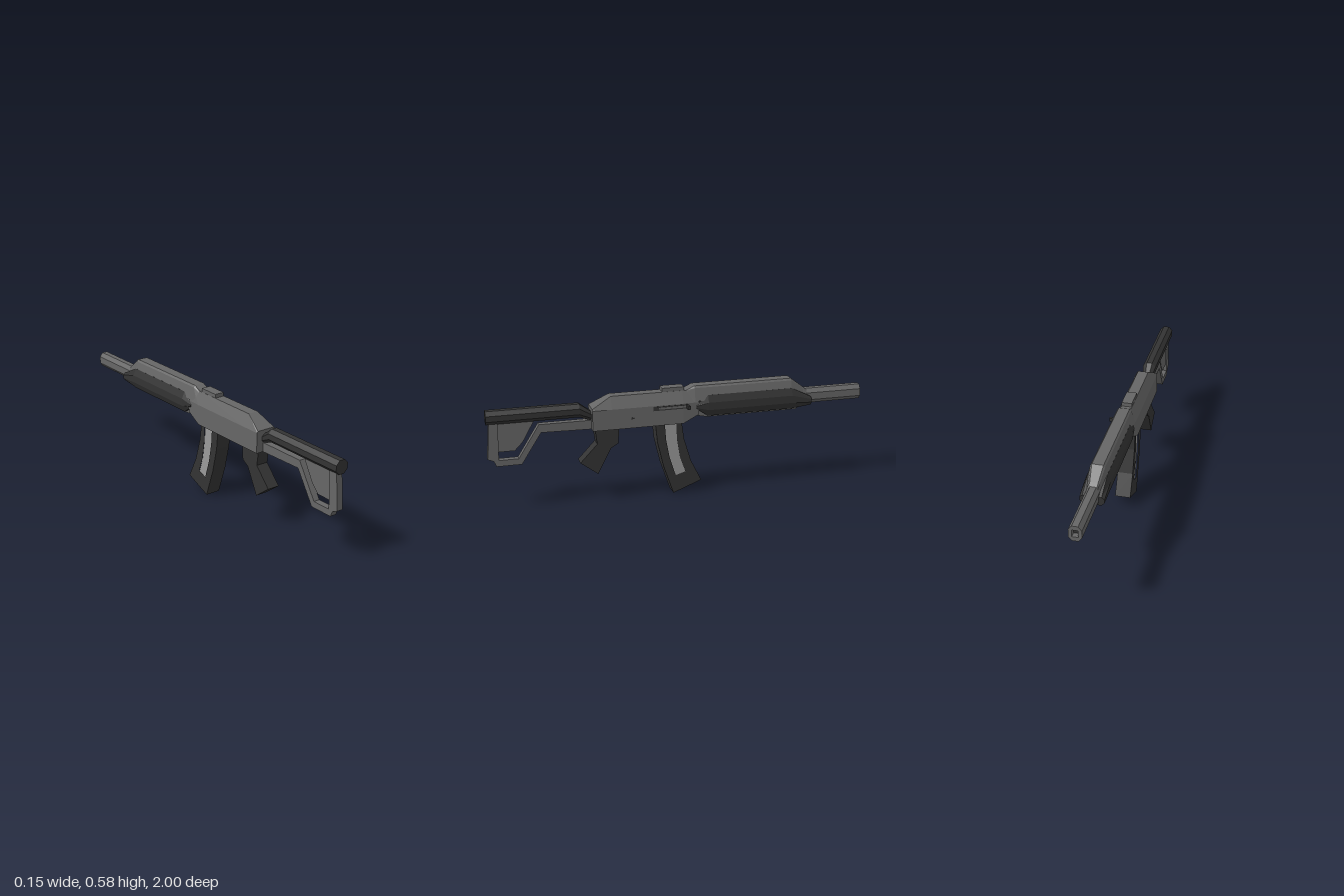
import * as THREE from 'three';

const mat = (name, color) => {
  const m = new THREE.MeshStandardMaterial({ color });
  m.name = name;
  return m;
};

export function createModel() {
  const gray = mat('gunmetal', 0x666666);
  const dark = mat('dark polymer', 0x333333);
  const light = mat('light steel', 0x999999);

  const group = new THREE.Group();
  group.name = 'rifle';
  const body = new THREE.Group();
  body.name = 'body';
  body.position.x = -0.0135; // the side handle shifts the body off centre
  group.add(body);

  const add = (name, geometry, material, x = 0, y = 0, z = 0) => {
    const mesh = new THREE.Mesh(geometry, material);
    mesh.name = name;
    mesh.position.set(x, y, z);
    body.add(mesh);
    return mesh;
  };
  const box = (w, h, d) => new THREE.BoxGeometry(w, h, d);
  const toPoints = (list) => list.map(([a, b]) => new THREE.Vector2(a, b));

  // Side outline given as [z, y], extruded across x
  const slab = (outline, width, hole) => {
    const shape = new THREE.Shape(toPoints(outline));
    if (hole) shape.holes.push(new THREE.Path(toPoints(hole)));
    const g = new THREE.ExtrudeGeometry(shape, { depth: width, bevelEnabled: false });
    g.translate(0, 0, -width / 2);
    g.rotateY(-Math.PI / 2);
    return g;
  };

  // Mirrored cross-sections [z, [[halfWidth, y] bottom to top]], ordered from +z to -z
  const loft = (stations) => {
    const rings = stations.map(([z, half]) => [
      ...half.map(([x, y]) => [x, y, z]),
      ...[...half].reverse().map(([x, y]) => [-x, y, z]),
    ]);
    const pos = [];
    const tri = (a, b, c) => pos.push(...a, ...b, ...c);
    const n = rings[0].length;
    for (let i = 0; i < rings.length - 1; i++) {
      for (let j = 0; j < n; j++) {
        const k = (j + 1) % n;
        const [p, q] = [rings[i], rings[i + 1]];
        tri(p[j], q[j], p[k]);
        tri(p[k], q[j], q[k]);
      }
    }
    const last = rings[rings.length - 1];
    for (let j = 1; j < n - 1; j++) {
      tri(rings[0][0], rings[0][j], rings[0][j + 1]);
      tri(last[0], last[j + 1], last[j]);
    }
    const g = new THREE.BufferGeometry();
    g.setAttribute('position', new THREE.Float32BufferAttribute(pos, 3));
    g.computeVertexNormals();
    return g;
  };

  // Receiver with sloped roof and chamfered ends
  const main = [[0.0565, 0.388], [0.0565, 0.495], [0.0275, 0.557]];
  add('receiver', loft([
    [0.47, [[0.0565, 0.388], [0.0565, 0.495], [0.05, 0.502]]],
    [0.37, main],
    [-0.005, main],
    [-0.09, [[0.052, 0.43], [0.052, 0.495], [0.0275, 0.557]]],
  ]), gray);
  add('topBlock', box(0.053, 0.03, 0.115), gray, 0, 0.562, 0.043);

  // Ejection slot, bolt handle and selector on the left side
  add('ejectionSlot', box(0.004, 0.022, 0.185), dark, 0.0565, 0.48, 0.062);
  add('slotBolt', box(0.004, 0.01, 0.15), gray, 0.0575, 0.48, 0.05);
  add('boltHandle', box(0.04, 0.017, 0.015), dark, 0.0665, 0.478, -0.028);
  add('selector', slab([[0.27, 0.432], [0.27, 0.446], [0.255, 0.44]], 0.004), dark, 0.0565);

  // Handguard: upper cover, side grips and lower rail
  add('upperHandguard', loft([
    [-0.025, [[0.05, 0.49], [0.03, 0.546], [0.027, 0.556]]],
    [-0.07, [[0.052, 0.5], [0.036, 0.567], [0.028, 0.577]]],
    [-0.6, [[0.052, 0.5], [0.036, 0.567], [0.028, 0.577]]],
    [-0.67, [[0.04, 0.47], [0.026, 0.517], [0.02, 0.524]]],
    [-0.7, [[0.035, 0.47], [0.022, 0.497], [0.018, 0.5]]],
  ]), gray);
  const grip = [[0.046, 0.415], [0.0615, 0.45], [0.0615, 0.49], [0.046, 0.527]];
  add('handguardGrip', loft([
    [-0.075, [[0.05, 0.46], [0.055, 0.465], [0.055, 0.475], [0.05, 0.48]]],
    [-0.14, grip],
    [-0.6, grip],
    [-0.71, [[0.046, 0.428], [0.06, 0.445], [0.06, 0.462], [0.046, 0.473]]],
  ]), dark);
  add('lowerHandguard', slab([
    [-0.07, 0.42], [-0.14, 0.405], [-0.63, 0.405], [-0.66, 0.425], [-0.66, 0.45], [-0.07, 0.45],
  ], 0.06), gray);

  // Eight-sided barrel with a square bore
  const muzzle = new THREE.Shape(toPoints([
    [0.015, 0.43], [0.032, 0.45], [0.032, 0.488], [0.015, 0.51],
    [-0.015, 0.51], [-0.032, 0.488], [-0.032, 0.45], [-0.015, 0.43],
  ]));
  muzzle.holes.push(new THREE.Path(toPoints([
    [-0.015, 0.452], [-0.015, 0.488], [0.015, 0.488], [0.015, 0.452],
  ])));
  add('barrel', new THREE.ExtrudeGeometry(muzzle, { depth: 0.4, bevelEnabled: false }), gray, 0, 0, -1);
  add('bore', box(0.03, 0.036, 0.02), dark, 0, 0.47, -0.96);

  // Curved magazine with a light core showing through side windows
  add('magazine', slab([
    [0.14, 0.42], [0.14, 0.388], [0.13, 0.29], [0.098, 0.155], [0.045, 0.001],
    [-0.107, 0.06], [-0.05, 0.174], [-0.012, 0.3], [0, 0.388], [0, 0.42],
  ], 0.081, [
    [0.092, 0.405], [0.084, 0.3], [0.065, 0.2], [0.033, 0.1],
    [-0.02, 0.116], [0.01, 0.2], [0.026, 0.3], [0.03, 0.405],
  ]), dark);
  add('magazineCore', slab([
    [0.1, 0.41], [0.092, 0.3], [0.073, 0.2], [0.038, 0.09],
    [-0.028, 0.108], [0.002, 0.2], [0.018, 0.3], [0.022, 0.41],
  ], 0.066), light);

  // Pistol grip
  add('pistolGrip', slab([
    [0.455, 0.4], [0.455, 0.388], [0.445, 0.31], [0.535, 0.215], [0.445, 0.147],
    [0.375, 0.28], [0.335, 0.305], [0.33, 0.388], [0.33, 0.4],
  ], 0.066), dark);

  // Stock tube tapering into the receiver
  const octagon = (r, y) => [
    [r * 0.42, y - r], [r, y - r * 0.42], [r, y + r * 0.42], [r * 0.42, y + r],
  ];
  add('stockTube', loft([
    [1, octagon(0.035, 0.491)],
    [0.53, octagon(0.035, 0.491)],
    [0.46, octagon(0.022, 0.452)],
  ]), dark);

  // Open stock frame and its thinner web
  add('stockFrame', slab([
    [0.46, 0.388], [0.727, 0.393], [0.83, 0.233], [0.958, 0.233], [0.97, 0.262], [1, 0.275],
    [0.985, 0.465], [0.94, 0.465], [0.945, 0.265], [0.845, 0.265], [0.737, 0.436], [0.46, 0.436],
  ], 0.034), gray);
  add('stockWeb', slab([
    [0.96, 0.465], [0.96, 0.307], [0.862, 0.307], [0.82, 0.35], [0.755, 0.465],
  ], 0.02), gray);

  return group;
}
